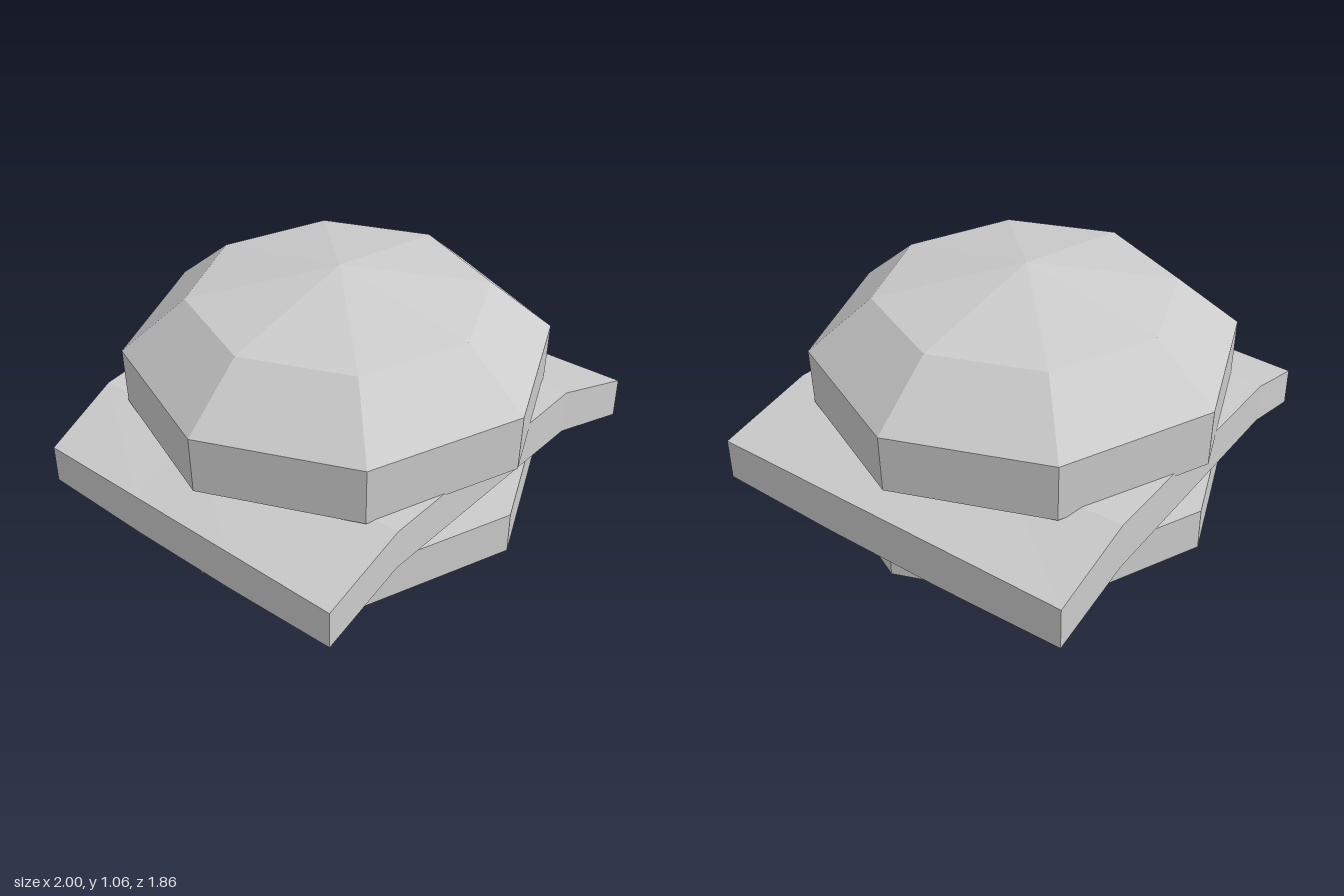
import * as THREE from 'three';

const material = new THREE.MeshStandardMaterial({ color: 0xcccccc, flatShading: true });

// Eight-sided solid of revolution; profile is [radius, y] from bottom to top.
function octagonal(name, profile) {
  const points = profile.map(([r, y]) => new THREE.Vector2(r, y));
  const mesh = new THREE.Mesh(new THREE.LatheGeometry(points, 8), material);
  mesh.name = name;
  mesh.position.x = 0.018;
  return mesh;
}

// Square slab that droops at its left and right ends.
function droopingSlab() {
  // One entry per column from -x to +x.
  const columns = [
    { back: [-0.97, -0.78], front: [-1.0, 0.77], top: 0.325, bottom: 0.15 },
    { back: [-0.6, -0.82], front: [-0.6, 0.78], top: 0.45, bottom: 0.268 },
    { back: [0.57, -0.88], front: [0.58, 0.82], top: 0.468, bottom: 0.262 },
    { back: [0.955, -0.88], front: [1.0, 0.865], top: 0.33, bottom: 0.138 },
  ];
  const geometry = new THREE.BoxGeometry(3, 1, 3, 3, 1, 3);
  const p = geometry.attributes.position;
  for (let i = 0; i < p.count; i++) {
    const c = columns[Math.round(p.getX(i) + 1.5)];
    const t = (p.getZ(i) + 1.5) / 3;
    const inner = t > 0.1 && t < 0.9;
    const isTop = p.getY(i) > 0;
    p.setXYZ(
      i,
      THREE.MathUtils.lerp(c.back[0], c.front[0], t),
      isTop ? c.top : c.bottom - (inner ? 0.016 : 0), // underside sags a little
      THREE.MathUtils.lerp(c.back[1], c.front[1], t)
    );
  }
  geometry.computeVertexNormals();
  const mesh = new THREE.Mesh(geometry, material);
  mesh.name = 'droopingSlice';
  return mesh;
}

export function createModel() {
  const group = new THREE.Group();
  group.name = 'sandwich';
  group.add(
    octagonal('bottomBun', [[0, 0], [0.912, 0], [0.912, 0.195], [0, 0.195]]),
    droopingSlab(),
    octagonal('topBun', [[0, 0.445], [0.924, 0.445], [0.93, 0.703], [0.65, 0.94], [0, 1.063]])
  );
  return group;
}
